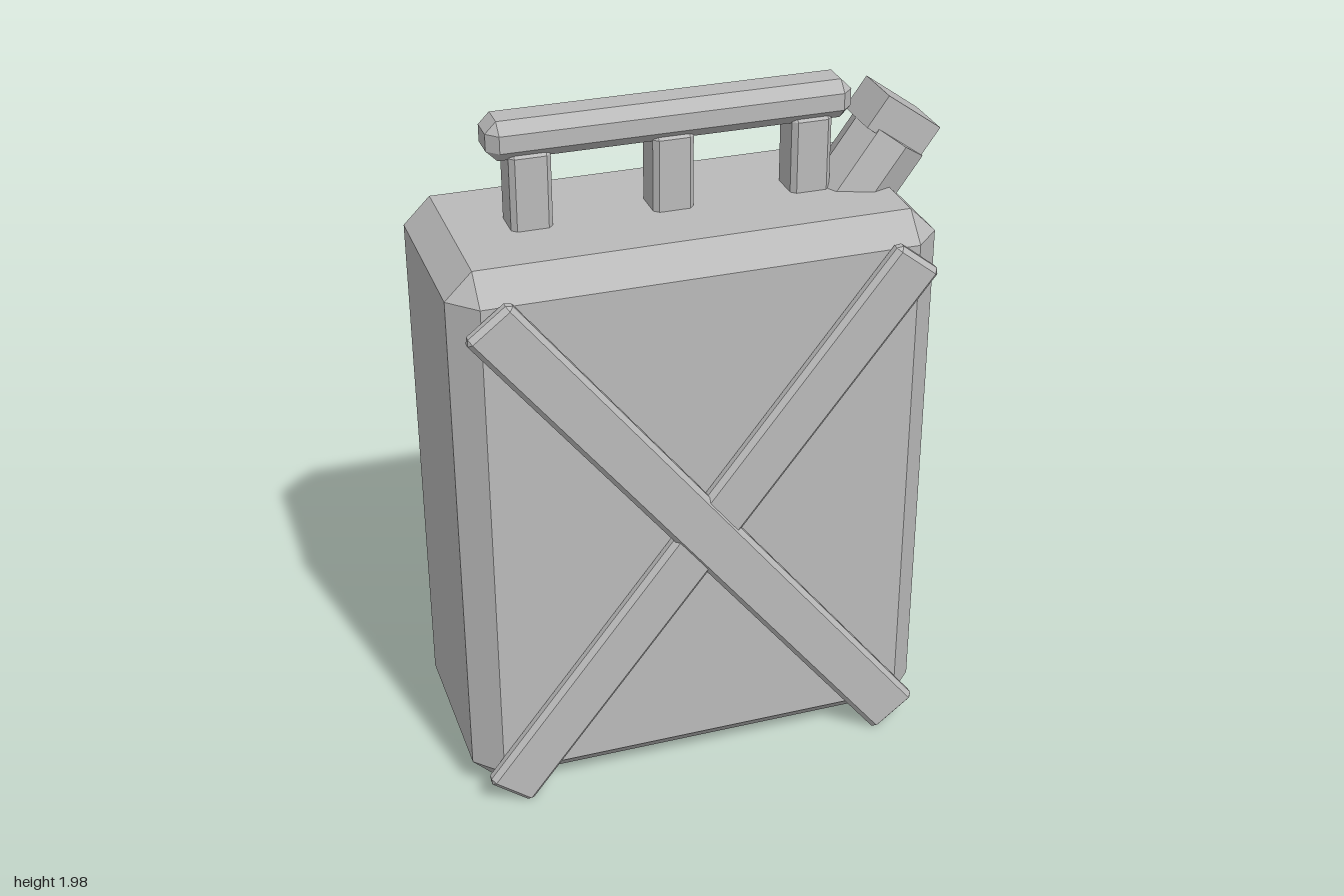
import * as THREE from 'three';
import { ConvexGeometry } from 'three/addons/geometries/ConvexGeometry.js';

const CENTRE_X = -0.04;

// Box with every edge cut at 45 degrees
function chamferBox(w, h, d, c) {
  const half = [w / 2, h / 2, d / 2];
  const points = [];
  for (const sx of [-1, 1]) for (const sy of [-1, 1]) for (const sz of [-1, 1])
    for (let axis = 0; axis < 3; axis++) {
      const [x, y, z] = half.map((v, i) => (i === axis ? v : v - c));
      points.push(new THREE.Vector3(sx * x, sy * y, sz * z));
    }
  return new ConvexGeometry(points);
}

export function createModel() {
  const model = new THREE.Group();
  model.name = 'fuelCan';
  const metal = new THREE.MeshStandardMaterial({ color: 0xbababa, flatShading: true });
  metal.name = 'greyMetal';

  function add(name, geometry, x, y, z, parent = model) {
    const mesh = new THREE.Mesh(geometry, metal);
    mesh.name = name;
    mesh.position.set(x, y, z);
    parent.add(mesh);
    return mesh;
  }

  // Can body
  add('body', chamferBox(1.37, 1.65, 0.645, 0.076), CENTRE_X, 0.865, -0.001);

  // Crossed straps on front and back, one lying just above the other
  const strapGeometry = chamferBox(0.157, 1.945, 0.046, 0.014);
  const strapAngle = Math.atan2(1.2, 1.53);
  for (const side of [-1, 1]) {
    const label = side > 0 ? 'front' : 'back';
    add(label + 'UpperStrap', strapGeometry, CENTRE_X, 0.825, side * 0.339).rotation.z = strapAngle;
    add(label + 'LowerStrap', strapGeometry, CENTRE_X, 0.825, side * 0.334).rotation.z = -strapAngle;
  }

  // Handle bar on three posts
  add('handleBar', chamferBox(1.02, 0.11, 0.135, 0.031), CENTRE_X, 1.945, -0.002);
  const postGeometry = chamferBox(0.115, 0.28, 0.115, 0.014);
  for (const offset of [-0.395, 0, 0.395])
    add('handlePost', postGeometry, CENTRE_X + offset, 1.77, -0.002);

  // Tilted eight-sided spout with a square cap
  const spout = new THREE.Group();
  spout.name = 'spout';
  spout.position.set(0.606, 1.81, -0.002);
  spout.rotation.z = -0.62;
  model.add(spout);
  add('spoutNeck', new THREE.CylinderGeometry(0.116, 0.116, 0.3, 8), 0, -0.15, 0, spout);
  add('spoutCap', new THREE.BoxGeometry(0.194, 0.105, 0.16), -0.019, 0.0385, 0, spout);

  return model;
}
